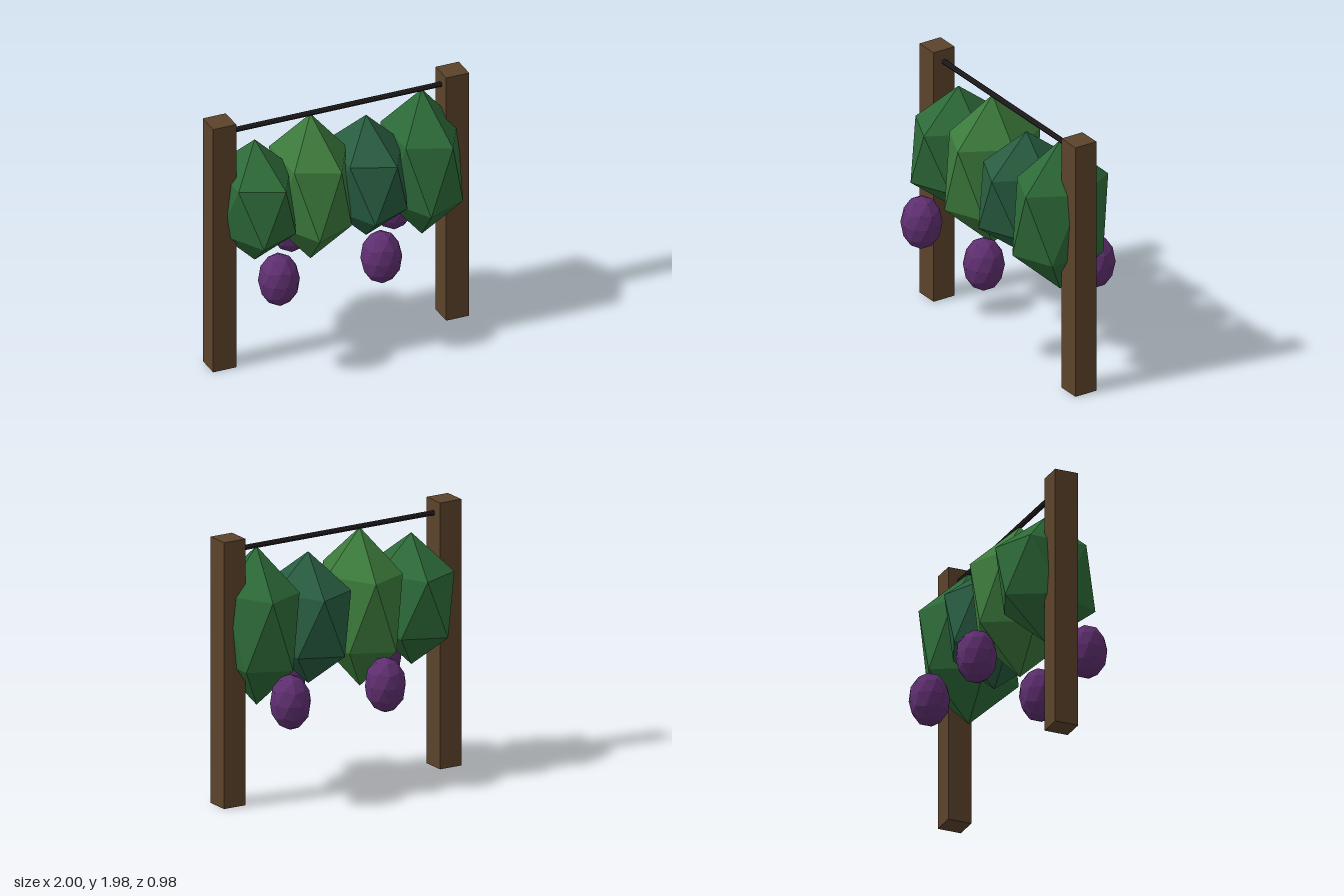
import * as THREE from 'three';

// Icosphere with its poles on the y axis and an upper-ring vertex on +x
function poleIcosphere(detail, rx, ry, rz) {
  const g = new THREE.IcosahedronGeometry(1, detail);
  g.rotateX(-Math.atan((1 + Math.sqrt(5)) / 2));
  g.rotateY(Math.PI / 2);
  g.scale(rx, ry, rz);
  return g;
}

export function createModel() {
  const group = new THREE.Group();
  const add = (name, geometry, color, x, y, z) => {
    const material = new THREE.MeshStandardMaterial({ color, flatShading: true });
    const mesh = new THREE.Mesh(geometry, material);
    mesh.name = name;
    mesh.position.set(x, y, z);
    group.add(mesh);
    return mesh;
  };

  // Square posts at both ends
  for (const side of [-1, 1]) {
    add(side > 0 ? 'leftPost' : 'rightPost', new THREE.BoxGeometry(0.18, 1.98, 0.18),
      0x5c432b, side * 0.91, 0.99, 0);
  }

  // Thin rail between the posts
  const rail = add('rail', new THREE.CylinderGeometry(0.02, 0.02, 1.66, 8), 0x231f20, 0, 1.885, 0);
  rail.rotation.z = Math.PI / 2;

  // Faceted leaf clumps, alternately short and tall
  const greens = [0x2d6a38, 0x3c7a3c, 0x285c40, 0x2d6a38];
  greens.forEach((color, i) => {
    const halfHeight = i % 2 ? 0.59 : 0.49;
    add('leafClump' + (i + 1), poleIcosphere(0, 0.31, halfHeight, 0.415),
      color, -0.635 + i * 0.435, i % 2 ? 1.29 : 1.28, 0);
  });

  // Hanging fruit, alternately in front and behind
  for (let i = 0; i < 4; i++) {
    add('fruit' + (i + 1), poleIcosphere(1, 0.15, 0.205, 0.15),
      0x5f2f70, -0.6 + i * 0.4, 0.795, i % 2 ? -0.34 : 0.34);
  }

  return group;
}
